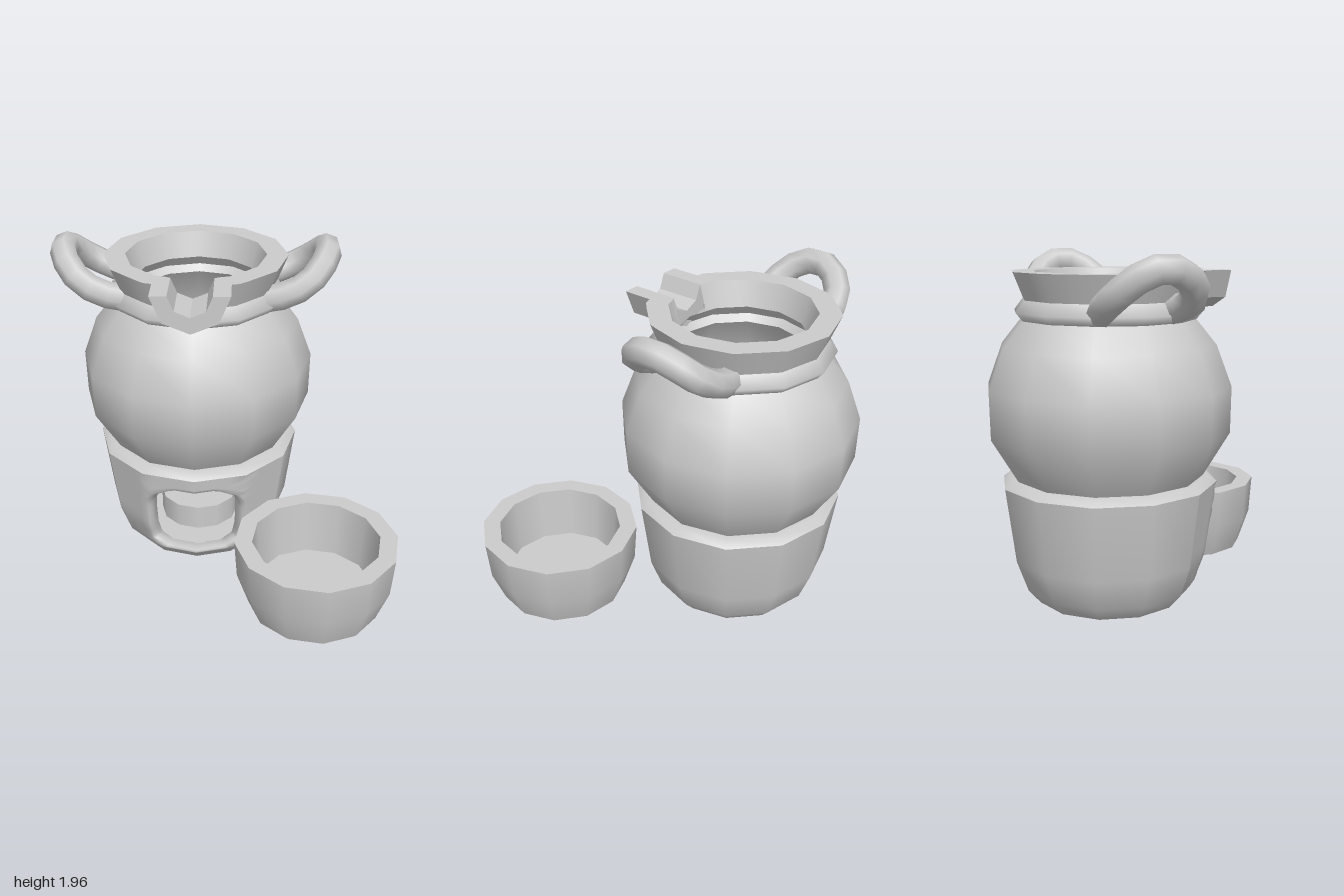
import * as THREE from 'three';

const SIDES = 12, STEP = (Math.PI * 2) / SIDES;
const grey = new THREE.MeshStandardMaterial({ color: 0xcccccc, side: THREE.DoubleSide });

function add(parent, name, geometry) {
  const mesh = new THREE.Mesh(geometry, grey);
  mesh.name = name;
  parent.add(mesh);
  return mesh;
}

const lathe = (points, segments = SIDES, start = 0, length = Math.PI * 2) =>
  new THREE.LatheGeometry(points.map(([r, y]) => new THREE.Vector2(r, y)), segments, start, length);

// Several profiles turned separately so that the edges between them stay sharp
function turned(parent, name, profiles, start = 0) {
  const group = new THREE.Group();
  group.name = name;
  profiles.forEach((p, i) => add(group, `${name}Surface${i + 1}`, lathe(p, SIDES, start)));
  parent.add(group);
  return group;
}

// Ratio of the 12-sided outline to its circle at an angle
function facet(phi) {
  const a = ((phi % STEP) + STEP) % STEP;
  return Math.cos(STEP / 2) / Math.cos(a - STEP / 2);
}

// Turned surface with a notch at the front, straight-sided at x = +-half
function notched(profile, half) {
  const gap = 0.25, n = 44;
  const geo = lathe(profile, n, gap, Math.PI * 2 - 2 * gap);
  const pos = geo.attributes.position;
  for (let i = 0; i < pos.count; i++) {
    const column = Math.floor(i / profile.length);
    const k = facet(Math.atan2(pos.getX(i), pos.getZ(i)));
    pos.setX(i, column === 0 ? half : column === n ? -half : pos.getX(i) * k);
    pos.setZ(i, pos.getZ(i) * k);
  }
  return geo;
}

const BASE = [[0.42, 0], [0.49, 0.08], [0.555, 0.26], [0.61, 0.68]];
const WALL = 0.09;

function baseRadius(y) {
  for (let i = 1; i < BASE.length; i++) {
    const [r0, y0] = BASE[i - 1], [r1, y1] = BASE[i];
    if (y <= y1 + 1e-6) return r0 + ((r1 - r0) * (y - y0)) / (y1 - y0);
  }
  return BASE[BASE.length - 1][0];
}

// Front part of the base wall: outside, arched opening and inside in one skin
function archPanel() {
  const edge = Math.PI / 3, cy = 0.34;
  const half = [[0.21, 0.09], [0.29, 0.16], [0.275, 0.45], [0.235, 0.52], [0.12, 0.585]];
  const arch = [...half, ...half.map(([x, y]) => [-x, y]).reverse()]
    .map(([x, y]) => [Math.asin(x / 0.56), y]);
  // outer border of the panel, counterclockwise in (angle, height)
  const heights = [0, 0.08, 0.17, 0.26, 0.34, 0.42, 0.5, 0.58, 0.64, 0.68];
  const border = [], across = 16;
  for (let i = 0; i < across; i++) border.push([-edge + (2 * edge * i) / across, 0]);
  heights.slice(0, -1).forEach((y) => border.push([edge, y]));
  for (let i = 0; i < across; i++) border.push([edge - (2 * edge * i) / across, 0.68]);
  heights.slice(1).reverse().forEach((y) => border.push([-edge, y]));
  // matching points on the arch, along rays from its middle
  const rim = border.map(([bx, by]) => {
    const dx = bx, dy = by - cy;
    let t = 0.5;
    arch.forEach(([ax, ay], i) => {
      const [ex, ey] = arch[(i + 1) % arch.length];
      const ux = ex - ax, uy = ey - ay, det = dx * uy - dy * ux;
      if (Math.abs(det) < 1e-9) return;
      const s = (ax * uy - (ay - cy) * ux) / det;
      const u = (ax * dy - (ay - cy) * dx) / det;
      if (s > 0 && u >= -1e-6 && u <= 1 + 1e-6) t = s;
    });
    return [dx * t, cy + dy * t];
  });
  // rows as [share of the way out to the border, depth into the wall]
  const rows = [[1, 0], [0.75, 0], [0.5, 0], [0.25, 0], [0.08, 0], [0.02, 0.015], [0, 0.04],
    [0, WALL], [0.25, WALL], [0.5, WALL], [0.75, WALL], [1, WALL]];
  const n = border.length, position = [], index = [];
  rows.forEach(([s, depth], i) => {
    for (let j = 0; j < n; j++) {
      const phi = rim[j][0] + (border[j][0] - rim[j][0]) * s;
      const y = rim[j][1] + (border[j][1] - rim[j][1]) * s;
      const r = (baseRadius(y) - depth) * facet(phi);
      position.push(r * Math.sin(phi), y, r * Math.cos(phi));
      if (i === rows.length - 1) continue;
      const a = i * n + j, b = i * n + ((j + 1) % n);
      index.push(a, b, b + n, a, b + n, a + n);
    }
  });
  const geo = new THREE.BufferGeometry();
  geo.setAttribute('position', new THREE.Float32BufferAttribute(position, 3));
  geo.setIndex(index);
  geo.computeVertexNormals();
  return geo;
}

function createBase(parent) {
  const base = new THREE.Group();
  base.name = 'burnerBase';
  parent.add(base);
  const start = Math.PI / 3, length = (Math.PI * 4) / 3;
  add(base, 'baseWall', lathe(BASE, 8, start, length));
  add(base, 'baseInnerWall', lathe(BASE.map(([r, y]) => [r - WALL, y]).reverse(), 8, start, length));
  add(base, 'baseFrontWithArch', archPanel());
  add(base, 'baseRim', lathe([[0.61, 0.68], [0.565, 0.715], [0.5, 0.715]]));
  add(base, 'baseUnderside', lathe([[0, 0], [0.42, 0]]));
  add(base, 'baseFloor', lathe([[0.41, 0.09], [0, 0.09]]));
  // Candle with its wick
  add(base, 'candle', new THREE.CylinderGeometry(0.245, 0.245, 0.155, 12)).position.y = 0.1675;
  add(base, 'wick', new THREE.CylinderGeometry(0.012, 0.018, 0.12, 6)).position.y = 0.3;
}

function createPot(parent) {
  const pot = new THREE.Group();
  pot.name = 'pot';
  parent.add(pot);
  turned(pot, 'potBody', [
    [[0, 0.71], [0.53, 0.71]],
    [[0.53, 0.71], [0.68, 0.96], [0.685, 1.22], [0.6, 1.45], [0.487, 1.59]],
    [[0.487, 1.59], [0.525, 1.635], [0.475, 1.7]],
    [[0.365, 1.7], [0.41, 1.64]],
    [[0.41, 1.64], [0.375, 1.6]],
    [[0.375, 1.6], [0.49, 1.43], [0.575, 1.2], [0.575, 0.98], [0.43, 0.82]],
    [[0.43, 0.82], [0, 0.82]],
  ]);
  // Flared neck, notched for the spout
  add(pot, 'neckOutside', notched([[0.475, 1.7], [0.535, 1.85]], 0.12));
  add(pot, 'neckRim', notched([[0.535, 1.85], [0.41, 1.85]], 0.12));
  add(pot, 'neckInside', notched([[0.41, 1.85], [0.365, 1.7]], 0.12));

  // Spout: half an octagonal pipe
  const arc = (r) => [0, 1, 2, 3, 4].map((i) => {
    const a = Math.PI + (i * Math.PI) / 4;
    return new THREE.Vector2(r * Math.cos(a), r * Math.sin(a));
  });
  const section = new THREE.Shape([...arc(0.215), ...arc(0.12).reverse()]);
  const spout = new THREE.ExtrudeGeometry(section, { depth: 0.265, bevelEnabled: false });
  add(pot, 'spout', spout).position.set(0, 1.85, 0.385);

  // Looped handles, rising outwards
  const side = [[0.4, 1.655, 0.2], [0.52, 1.69, 0.225], [0.64, 1.755, 0.21], [0.72, 1.835, 0.14], [0.755, 1.88, 0.05]];
  const loop = [...side, ...side.map(([x, y, z]) => [x, y, -z]).reverse()];
  for (const s of [1, -1]) {
    const curve = new THREE.CatmullRomCurve3(loop.map(([x, y, z]) => new THREE.Vector3(s * x, y, z)));
    add(pot, s > 0 ? 'leftHandle' : 'rightHandle', new THREE.TubeGeometry(curve, 11, 0.078, 7));
  }
}

export function createModel() {
  const model = new THREE.Group();
  model.name = 'potOnBurnerWithCup';

  const warmer = new THREE.Group();
  warmer.name = 'warmer';
  warmer.position.set(-0.18, 0, -0.305);
  model.add(warmer);
  createBase(warmer);
  createPot(warmer);

  // Cup beside the burner
  const cup = turned(model, 'cup', [
    [[0, 0], [0.385, 0]],
    [[0.385, 0], [0.455, 0.2], [0.472, 0.435]],
    [[0.472, 0.435], [0.37, 0.435]],
    [[0.37, 0.435], [0.345, 0.1]],
    [[0.345, 0.1], [0, 0.1]],
  ], 0.09);
  cup.position.set(0.53, 0, 0.508);
  return model;
}
